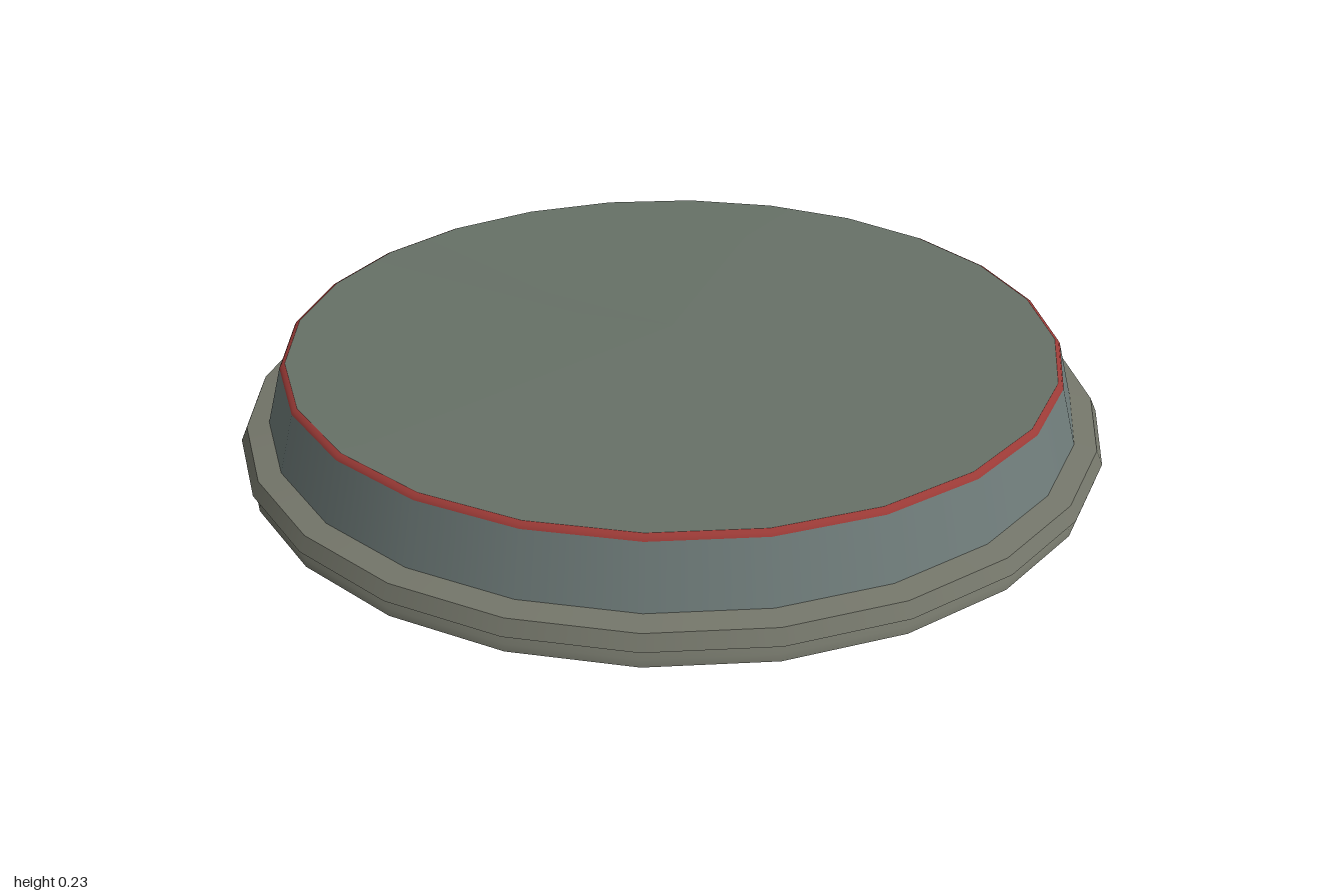
import * as THREE from 'three';

const SIDES = 24;

// Thin revolved band; the profile runs from the bottom edge up and inward.
function band(name, color, points) {
  const geometry = new THREE.LatheGeometry(points.map(([r, y]) => new THREE.Vector2(r, y)), SIDES);
  const material = new THREE.MeshStandardMaterial({ color, side: THREE.DoubleSide });
  const mesh = new THREE.Mesh(geometry, material);
  mesh.name = name;
  return mesh;
}

export function createModel() {
  const model = new THREE.Group();
  model.name = 'lid';
  const rim = 0x74766a, wall = 0x6f7c7a, top = 0x677167, red = 0x9a3a36;

  // Stepped rim, open underneath
  model.add(band('lowerSkirt', rim, [[0.99, 0], [0.988, 0.015], [0.975, 0.04]]));
  model.add(band('rimUnderside', rim, [[0.975, 0.04], [1, 0.04]]));
  model.add(band('rimEdge', rim, [[1, 0.04], [0.985, 0.072]]));
  model.add(band('rimShelf', rim, [[0.985, 0.072], [0.935, 0.08]]));

  // Tapered wall, coloured edge line and slightly domed top
  model.add(band('sideWall', wall, [[0.935, 0.08], [0.898, 0.212]]));
  model.add(band('edgeLine', red, [[0.898, 0.212], [0.894, 0.219], [0.885, 0.223]]));
  model.add(band('topPanel', top, [[0.885, 0.223], [0, 0.235]]));
  return model;
}
